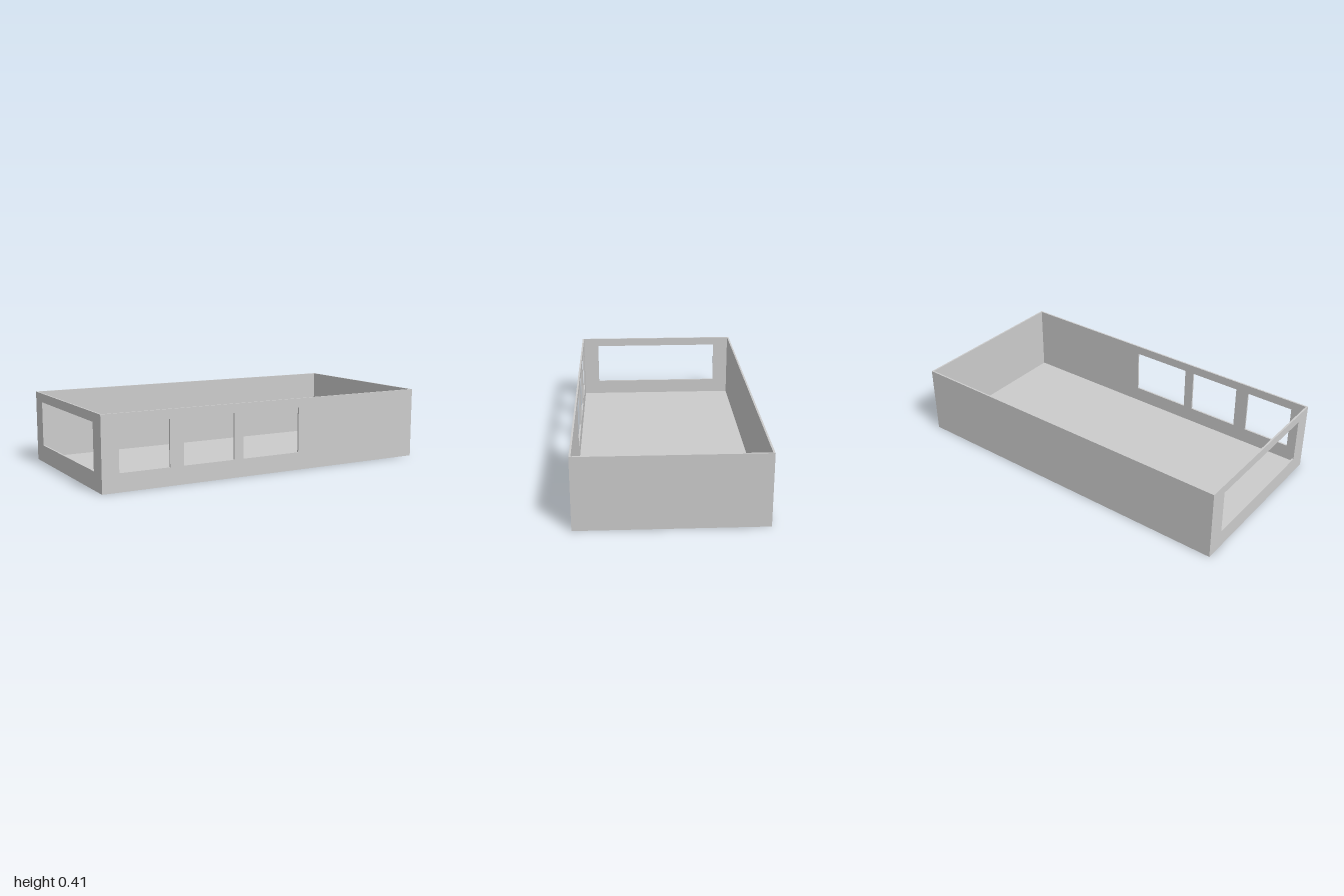
import * as THREE from 'three';

const W = 2, H = 0.406, D = 1.012, T = 0.01; // outer size and panel thickness

// Upright panel in the xy plane with rectangular openings [x0, x1, y0, y1]
function panel(name, width, openings = []) {
  const rect = (Type, x0, x1, y0, y1) => {
    const p = new Type();
    p.moveTo(x0, y0).lineTo(x1, y0).lineTo(x1, y1).lineTo(x0, y1).closePath();
    return p;
  };
  const shape = rect(THREE.Shape, -width / 2, width / 2, 0, H);
  for (const o of openings) shape.holes.push(rect(THREE.Path, ...o));
  const geometry = new THREE.ExtrudeGeometry(shape, { depth: T, bevelEnabled: false });
  geometry.translate(0, 0, -T); // outer face at local z = 0
  return named(name, geometry);
}

function named(name, geometry) {
  const mesh = new THREE.Mesh(geometry, new THREE.MeshStandardMaterial({ color: 0xcccccc }));
  mesh.name = name;
  return mesh;
}

export function createModel() {
  const group = new THREE.Group();
  group.name = 'openTopRoom';

  // Floor slab between the walls
  const floor = named('floor', new THREE.BoxGeometry(W - 2 * T, T, D - 2 * T));
  floor.position.y = T / 2;

  // Long walls: three windows in the front, none in the back
  const sill = 0.1, head = 0.355;
  const front = panel('frontWall', W, [
    [-0.905, -0.62, sill, head],
    [-0.54, -0.235, sill, head],
    [-0.178, 0.18, sill, head],
  ]);
  front.position.z = D / 2;
  const back = panel('backWall', W);
  back.rotation.y = Math.PI;
  back.position.z = -D / 2;

  // End walls: solid at +x, one wide opening at -x
  const solidEnd = panel('solidEndWall', D - 2 * T);
  solidEnd.rotation.y = Math.PI / 2;
  solidEnd.position.x = W / 2;
  const openEnd = panel('openEndWall', D - 2 * T, [[-0.4, 0.4, sill, head]]);
  openEnd.rotation.y = -Math.PI / 2;
  openEnd.position.x = -W / 2;

  group.add(floor, front, back, solidEnd, openEnd);
  return group;
}
